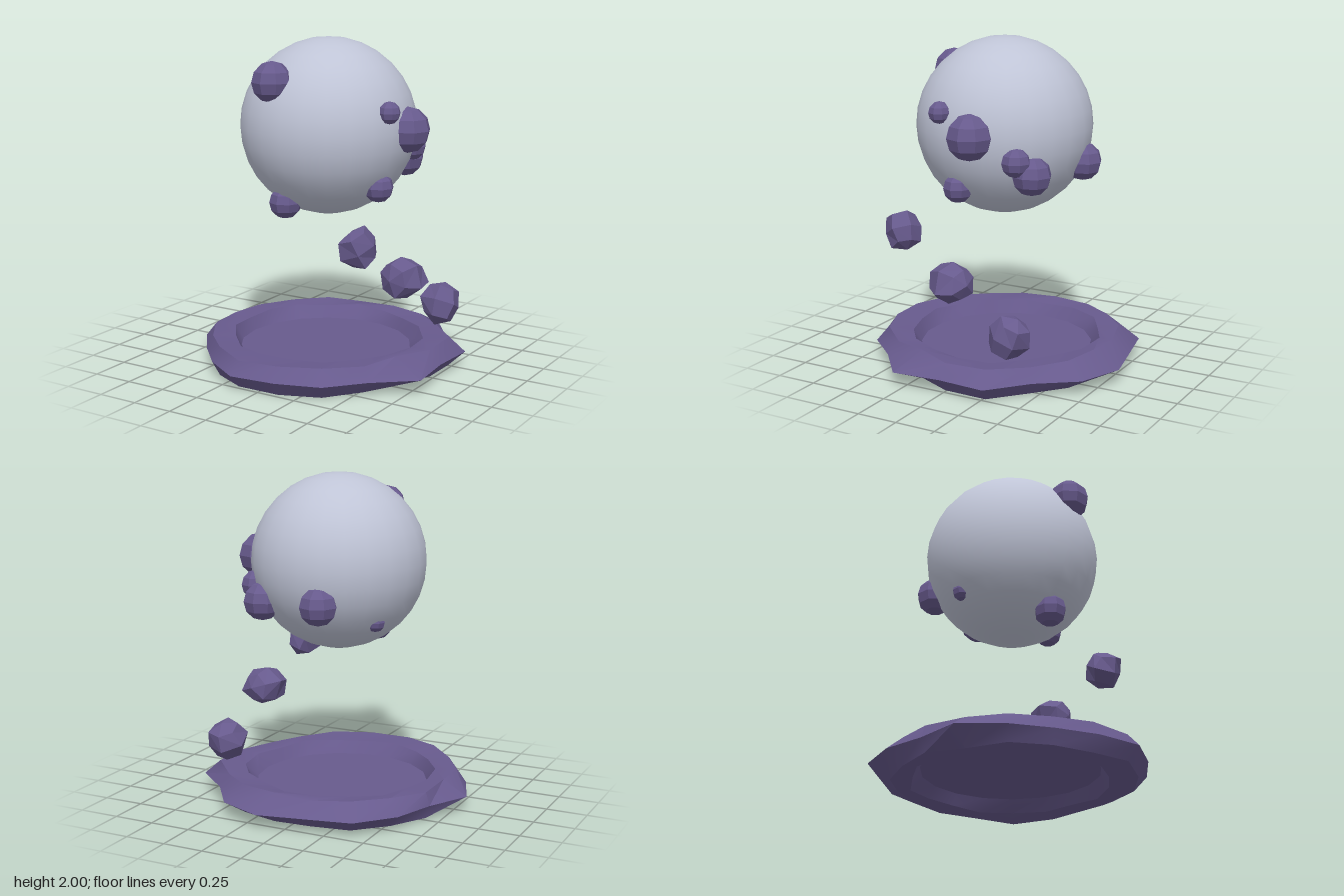
import * as THREE from 'three';
import { mergeVertices, toCreasedNormals } from 'three/addons/utils/BufferGeometryUtils.js';

const material = (name, color, extra = {}) => {
  const m = new THREE.MeshStandardMaterial({ color, ...extra });
  m.name = name;
  return m;
};

// Ring radii every 20 degrees, from +x towards +z
const OUTER = [0.8, 0.88, 0.77, 0.81, 0.8, 0.83, 0.77, 0.74, 0.77, 0.83, 0.74, 0.79, 0.83, 0.79, 0.85, 0.84, 0.77, 0.87];
const RIM = [0.73, 0.66, 0.7, 0.73, 0.74, 0.76, 0.72, 0.7, 0.71, 0.68, 0.71, 0.69, 0.7, 0.68, 0.67, 0.7, 0.71, 0.77];
const INNER = [0.6, 0.57, 0.59, 0.58, 0.57, 0.59, 0.58, 0.56, 0.58, 0.57, 0.58, 0.6, 0.57, 0.6, 0.58, 0.56, 0.59, 0.61];

// Craggy ring with a six-sided section
function ringGeometry() {
  const n = OUTER.length, pos = [], index = [];
  for (let i = 0; i < n; i++) {
    const a = (i / n) * Math.PI * 2;
    const wave = 0.006 * Math.sin(i * 2.3);
    const section = [
      [OUTER[i], 0.095], [RIM[i], 0.177 + wave], [INNER[i], 0.168 - wave],
      [0.53, 0.09], [INNER[i], 0.02 + wave], [RIM[i], 0.009 - wave],
    ];
    for (const [r, y] of section) pos.push(r * Math.cos(a), Math.max(0, y), r * Math.sin(a));
    for (let j = 0; j < 6; j++) {
      const i2 = (i + 1) % n, j2 = (j + 1) % 6;
      const p = i * 6 + j, q = i * 6 + j2, s = i2 * 6 + j, t = i2 * 6 + j2;
      index.push(p, q, s, q, t, s);
    }
  }
  const g = new THREE.BufferGeometry();
  g.setAttribute('position', new THREE.Float32BufferAttribute(pos, 3));
  g.setIndex(index);
  return toCreasedNormals(g, 0.6);
}

// Low sphere whose corners are pushed in and out
function rockGeometry(radius, seed) {
  let s = seed;
  const random = () => (s = (s * 16807) % 2147483647) / 2147483647;
  let g = new THREE.SphereGeometry(radius, 6, 4);
  g.deleteAttribute('uv');
  g.deleteAttribute('normal');
  g = mergeVertices(g, 1e-4);
  const p = g.attributes.position, v = new THREE.Vector3();
  for (let i = 0; i < p.count; i++) {
    v.fromBufferAttribute(p, i).multiplyScalar(0.9 + 0.26 * random());
    p.setXYZ(i, v.x, v.y, v.z);
  }
  g.computeVertexNormals();
  return g;
}

export function createModel() {
  const model = new THREE.Group();
  const pale = material('pale grey', 0xbfc4d6);
  const purple = material('purple stone', 0x675a8d, { flatShading: true });
  const ringPurple = purple.clone();
  ringPurple.name = 'smooth purple stone';
  ringPurple.flatShading = false;
  ringPurple.side = THREE.DoubleSide;

  const add = (name, geometry, mat, x, y, z) => {
    const mesh = new THREE.Mesh(geometry, mat);
    mesh.name = name;
    mesh.position.set(x, y, z);
    model.add(mesh);
    return mesh;
  };

  // Large floating ball
  add('ball', new THREE.SphereGeometry(0.532, 24, 16), pale, 0.02, 1.468, 0);

  // Stones embedded in the ball: x, y, z, radius
  [
    [-0.1, 1.765, 0.425, 0.122],
    [-0.1, 1.035, 0.29, 0.1],
    [0.52, 1.6, 0.15, 0.066],
    [0.53, 1.475, -0.055, 0.137],
    [0.42, 1.145, 0.09, 0.09],
    [0.43, 1.335, -0.3, 0.087],
    [0.35, 1.25, -0.36, 0.117],
    [-0.08, 1.27, -0.475, 0.115],
    [-0.31, 1.15, -0.19, 0.06],
  ].forEach(([x, y, z, r], i) =>
    add('embeddedStone' + (i + 1), new THREE.SphereGeometry(r, 8, 6), purple, x, y, z));

  // Loose rocks falling towards the ring
  [
    [0.485, 0.86, 0.43, 0.118, 17],
    [0.575, 0.615, 0.05, 0.132, 523],
    [0.61, 0.36, -0.36, 0.128, 9001],
  ].forEach(([x, y, z, r, seed], i) => {
    const rock = add('looseRock' + (i + 1), rockGeometry(r, seed * 7919), purple, x, y, z);
    rock.rotation.set(0.4 + i, 0.7 * i, 0.3);
  });

  // Ground ring and its recessed floor
  add('groundRing', ringGeometry(), ringPurple, 0, 0, 0);
  const floor = add('ringFloor', new THREE.CircleGeometry(0.54, 18), ringPurple, 0, 0.09, 0);
  floor.rotation.x = -Math.PI / 2;

  return model;
}
